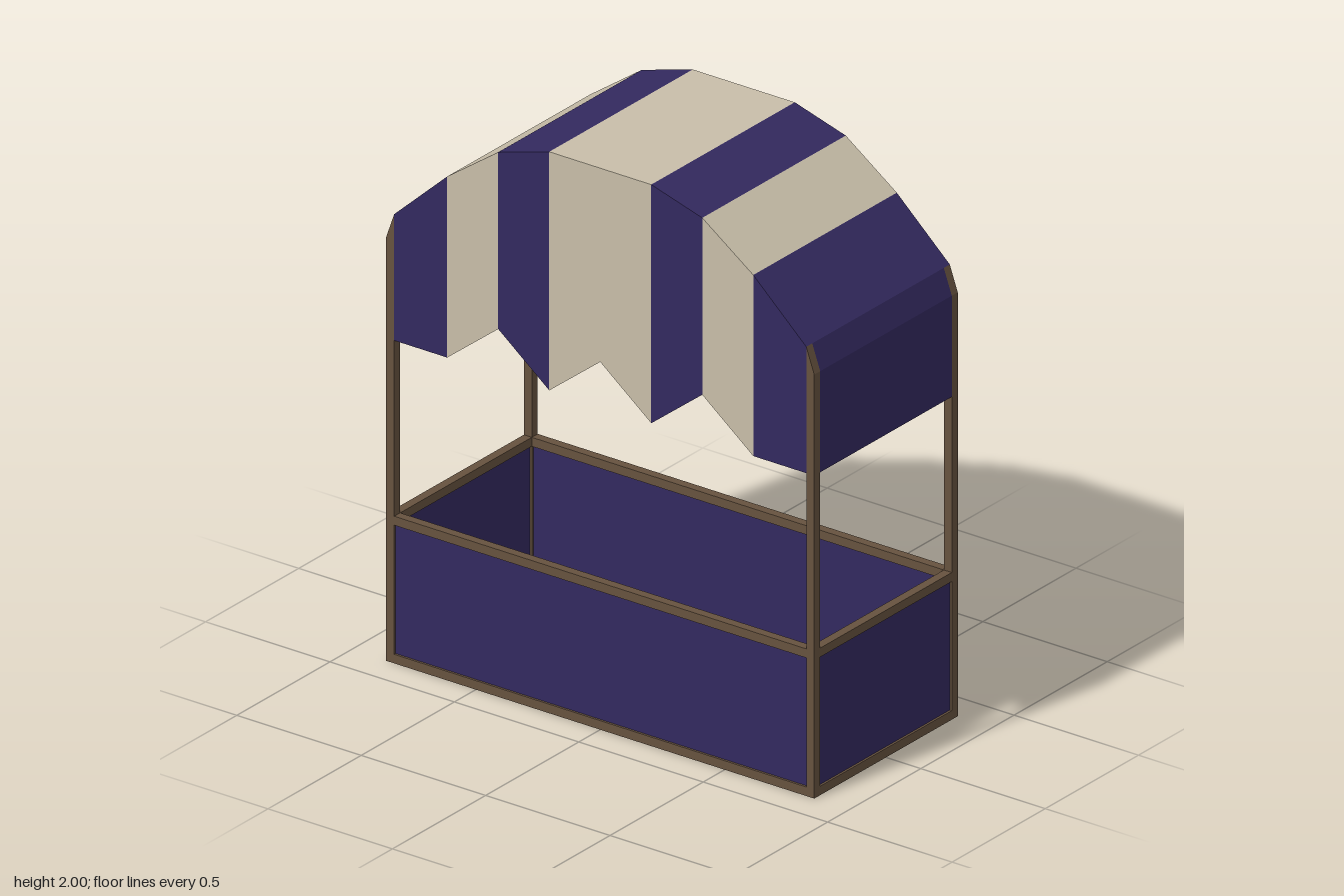
import * as THREE from 'three';

const X = 0.86, Z = 0.385, T = 0.032;      // half width, half depth, timber size
const XI = X - T, ZI = Z - T;              // inner faces of the posts
const EAVE = 1.6, SHOULDER = 1.51, HEM = 1.15;

const material = (color) => new THREE.MeshStandardMaterial({ color, flatShading: true });

export function createModel() {
  const model = new THREE.Group();
  const wood = material(0x66523f);
  const purple = material(0x33295f);
  const cream = material(0xc8bea9);
  const grey = material(0xcccccc);

  const add = (name, geometry, mat, x = 0, y = 0, z = 0) => {
    const mesh = new THREE.Mesh(geometry, mat);
    mesh.name = name;
    mesh.position.set(x, y, z);
    model.add(mesh);
    return mesh;
  };
  const box = (name, mat, w, h, d, x, y, z) =>
    add(name, new THREE.BoxGeometry(w, h, d), mat, x, y, z);

  // Corner posts with sloping tops
  for (const sx of [-1, 1]) {
    const outline = [[XI, 0], [X, 0], [X, SHOULDER], [XI, EAVE]]
      .map(([x, y]) => new THREE.Vector2(sx * x, y));
    for (const z of [ZI, -Z]) {
      add('cornerPost', new THREE.ExtrudeGeometry(new THREE.Shape(outline),
        { depth: T, bevelEnabled: false }), wood, 0, 0, z);
    }
  }

  // Counter: top and bottom rails with thin panels between them
  for (const s of [-1, 1]) {
    for (const y of [T / 2, 0.508]) {
      box('longRail', wood, 2 * XI, T, T, 0, y, s * (Z - T / 2));
      box('shortRail', wood, T, T, 2 * ZI, s * (X - T / 2), y, 0);
    }
    box('longPanel', purple, 2 * XI, 0.46, 0.016, 0, 0.262, s * (Z - T / 2));
    box('shortPanel', purple, 0.016, 0.46, 2 * ZI, s * (X - T / 2), 0.262, 0);
  }
  box('floor', grey, 2 * XI, 0.016, 2 * ZI, 0, T / 2, 0);

  // Canopy columns: x, roof height, scalloped hem height
  const half = [[0, 2, 1.31], [0.205, 2, HEM], [0.41, 1.94, 1.31],
    [0.615, 1.795, HEM], [XI, EAVE, HEM], [X, SHOULDER, HEM]];
  const columns = [...half.slice(1).reverse().map(([x, t, b]) => [-x, t, b]), ...half];
  const colours = [purple, purple, cream, purple, cream, cream, purple, cream, purple, purple];

  for (let i = 0; i < colours.length; i++) {
    const [x0, t0, b0] = columns[i], [x1, t1, b1] = columns[i + 1];
    const first = i === 0, last = i === colours.length - 1;
    const d = first || last ? ZI : Z;      // the ends sit between the posts
    const points = [];
    const quad = (a, b, c, e) => points.push(...a, ...b, ...c, ...a, ...c, ...e);
    quad([x0, t0, d], [x1, t1, d], [x1, t1, -d], [x0, t0, -d]);   // roof
    quad([x0, b0, -d], [x1, b1, -d], [x1, b1, d], [x0, b0, d]);   // underside
    if (first) quad([x0, b0, -d], [x0, b0, d], [x0, t0, d], [x0, t0, -d]);
    else if (last) quad([x1, b1, d], [x1, b1, -d], [x1, t1, -d], [x1, t1, d]);
    else {
      quad([x0, b0, d], [x1, b1, d], [x1, t1, d], [x0, t0, d]);       // front
      quad([x1, b1, -d], [x0, b0, -d], [x0, t0, -d], [x1, t1, -d]);   // back
    }
    const geometry = new THREE.BufferGeometry();
    geometry.setAttribute('position', new THREE.Float32BufferAttribute(points, 3));
    geometry.computeVertexNormals();
    add(first || last ? 'canopyEnd' : 'canopyStripe', geometry, colours[i]);
  }

  return model;
}
